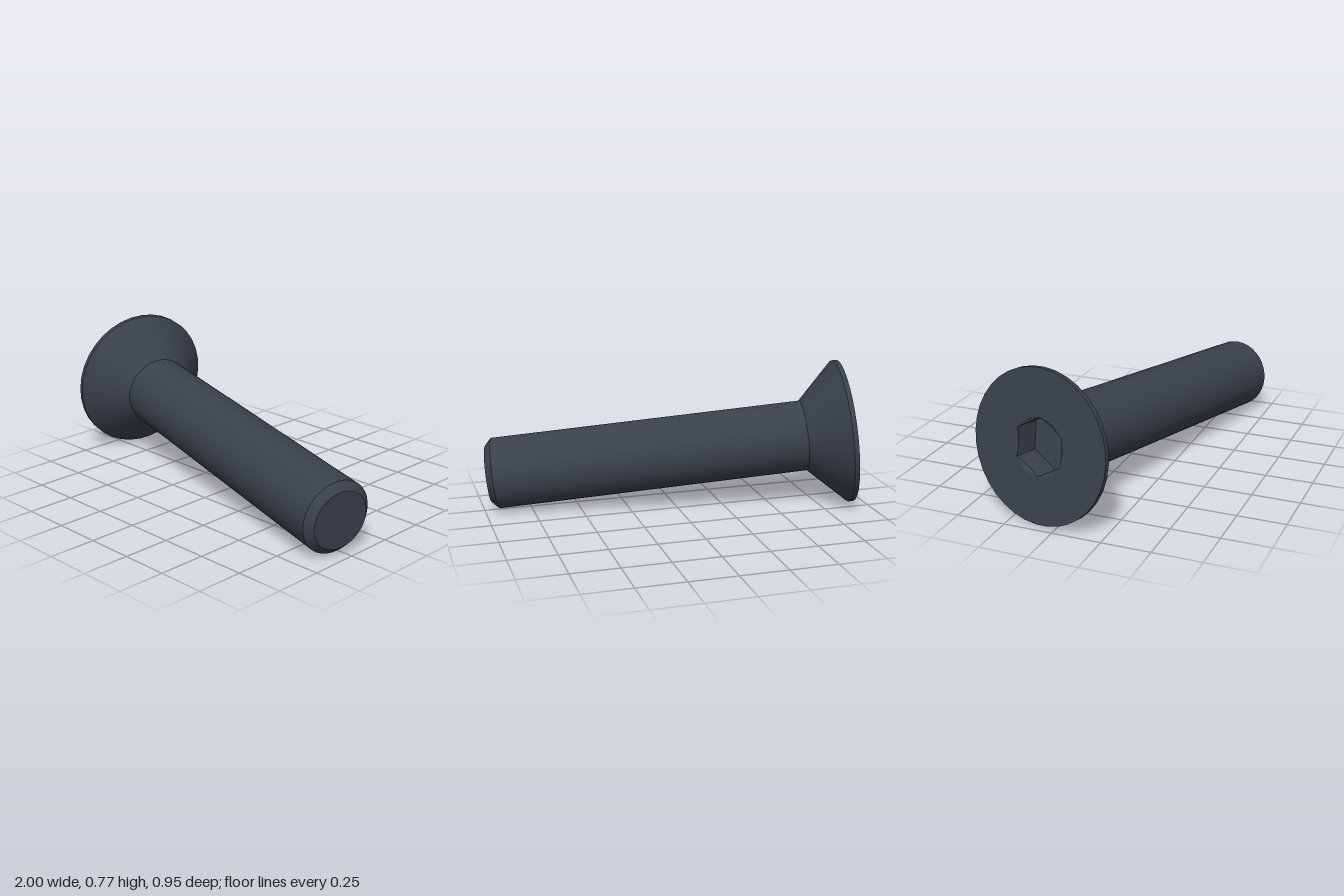
import * as THREE from 'three';
import { toCreasedNormals } from 'three/addons/utils/BufferGeometryUtils.js';

const SEGMENTS = 36;
const HEAD_R = 0.385, SHANK_R = 0.19, TIP_R = 0.152, SOCKET_R = 0.147;
const HEAD_END = 0.225, SHANK_END = 1.892, LENGTH = 1.929, SOCKET_DEPTH = 0.14;

// Turned part: profile of [radius, distance along the screw axis]
function turned(profile) {
  return new THREE.LatheGeometry(profile.map(([r, t]) => new THREE.Vector2(r, t)), SEGMENTS);
}

// Hexagon radius at an angle, with corners at 30 degrees plus multiples of 60
function hexRadius(angle) {
  const step = Math.PI / 3;
  const off = angle - Math.round(angle / step) * step;
  return SOCKET_R * Math.cos(Math.PI / 6) / Math.cos(off);
}

// Hex recess: turned rings pulled in to a hexagon, with a conical lead-in
function socketGeometry() {
  const rings = 4;
  const geo = turned([[0, SOCKET_DEPTH], [SOCKET_R, SOCKET_DEPTH], [SOCKET_R, 0.01], [SOCKET_R, 0]]);
  const pos = geo.attributes.position;
  for (let i = 0; i < pos.count; i++) {
    const ring = i % rings;
    if (ring !== 1 && ring !== 2) continue;
    const angle = Math.floor(i / rings) / SEGMENTS * Math.PI * 2;
    const r = hexRadius(angle);
    const t = ring === 1 ? SOCKET_DEPTH : (SOCKET_R - r) * 0.6;
    pos.setXYZ(i, Math.sin(angle) * r, t, Math.cos(angle) * r);
  }
  return geo;
}

export function createModel() {
  const steel = new THREE.MeshStandardMaterial({ color: 0x3a4149 });
  steel.name = 'dark steel';

  const screw = new THREE.Group();
  screw.name = 'countersunkScrew';
  const add = (name, geo) => {
    const mesh = new THREE.Mesh(toCreasedNormals(geo, Math.PI / 7), steel);
    mesh.name = name;
    screw.add(mesh);
  };

  add('hexSocket', socketGeometry());
  add('head', turned([[SOCKET_R, 0], [HEAD_R, 0], [HEAD_R, 0.025], [SHANK_R, HEAD_END]]));
  add('shank', turned([[SHANK_R, HEAD_END], [SHANK_R, SHANK_END]]));
  add('chamferedTip', turned([[SHANK_R, SHANK_END], [TIP_R, LENGTH], [0, LENGTH]]));

  // Lay the screw along its slanted axis, one socket corner pointing up
  const axis = new THREE.Vector3(0.9728, -0.103, 0.2075).normalize();
  const up = new THREE.Vector3(0, 1, 0).addScaledVector(axis, -axis.y).normalize();
  const side = new THREE.Vector3().crossVectors(up, axis);
  screw.quaternion.setFromRotationMatrix(new THREE.Matrix4().makeBasis(up, axis, side));
  screw.position.set(-0.911, 0.386, -0.101);

  const model = new THREE.Group();
  model.name = 'model';
  model.add(screw);
  return model;
}
